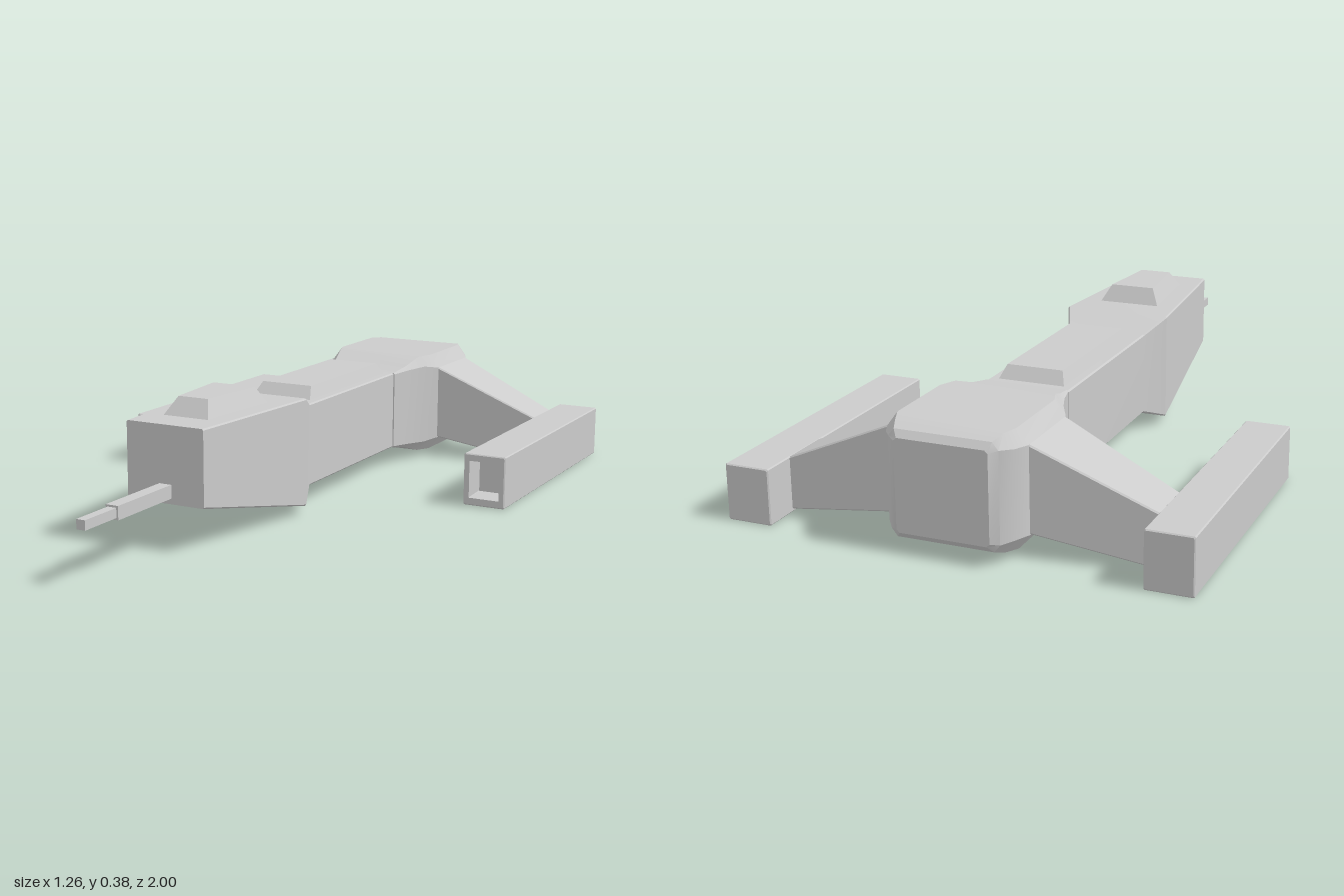
import * as THREE from 'three';
import { toCreasedNormals } from 'three/addons/utils/BufferGeometryUtils.js';

const material = new THREE.MeshStandardMaterial({ color: 0xcccccc });

// Skin a list of cross-sections (each counter-clockwise seen from +z) and cap both ends
function loft(name, rings) {
  const n = rings[0].length, last = rings.length - 1, pos = [];
  const tri = (...points) => points.forEach((p) => pos.push(...p));
  for (let i = 0; i < last; i++) {
    for (let j = 0; j < n; j++) {
      const k = (j + 1) % n;
      const a = rings[i][j], b = rings[i][k], c = rings[i + 1][k], d = rings[i + 1][j];
      tri(a, d, c);
      tri(a, c, b);
    }
  }
  for (let j = 1; j < n - 1; j++) {
    tri(rings[0][0], rings[0][j], rings[0][j + 1]);
    tri(rings[last][0], rings[last][j + 1], rings[last][j]);
  }
  const geometry = new THREE.BufferGeometry();
  geometry.setAttribute('position', new THREE.Float32BufferAttribute(pos, 3));
  const mesh = new THREE.Mesh(toCreasedNormals(geometry, 0.45), material);
  mesh.name = name;
  return mesh;
}

// Rectangle with chamfered corners
function section(z, w, y0, y1, cx = 0.004, cy = cx) {
  return [
    [w, y0 + cy, z], [w, y1 - cy, z], [w - cx, y1, z], [cx - w, y1, z],
    [-w, y1 - cy, z], [-w, y0 + cy, z], [cx - w, y0, z], [w - cx, y0, z],
  ];
}

// Raised block with sloping sides, from [z, base half width, top half width, top height]
function raisedPanel(name, base, rows) {
  return loft(name, rows.map(([z, b, t, y]) => [[b, base, z], [t, y, z], [-t, y, z], [-b, base, z]]));
}

function box(name, size, z0, z1, x, y) {
  const mesh = new THREE.Mesh(new THREE.BoxGeometry(size, size, z1 - z0), material);
  mesh.position.set(x, y, (z0 + z1) / 2);
  mesh.name = name;
  return mesh;
}

export function createModel() {
  const model = new THREE.Group();
  model.name = 'spacecraft';

  // Forward fuselage: wedge-bottomed head and narrow neck
  const front = new THREE.Group();
  front.name = 'forwardFuselage';
  front.position.x = -0.004;
  front.add(loft('headAndNeck', [
    section(0.63, 0.118, 0.122, 0.333),
    section(0.15, 0.158, 0.022, 0.333),
    section(0.06, 0.12, 0.057, 0.298),
    section(-0.51, 0.12, 0.057, 0.298),
  ]));
  front.add(raisedPanel('canopy', 0.331, [
    [0.53, 0.07, 0.07, 0.331], [0.49, 0.07, 0.046, 0.38],
    [0.28, 0.09, 0.066, 0.38], [0.25, 0.092, 0.092, 0.331],
  ]));
  front.add(raisedPanel('spinePanel', 0.296, [
    [0.012, 0.095, 0.095, 0.296], [-0.022, 0.095, 0.08, 0.333],
    [-0.455, 0.095, 0.08, 0.333], [-0.482, 0.095, 0.095, 0.296],
  ]));
  front.add(box('gunBase', 0.037, 0.6, 0.87, 0, 0.156));
  front.add(box('gunTip', 0.026, 0.85, 1, 0, 0.156));
  model.add(front);

  // Engine block with chamfered corners and a rounded tail
  model.add(loft('engineBlock', [
    section(-0.5, 0.12, 0.057, 0.298),
    section(-0.57, 0.138, 0.045, 0.31, 0.012),
    section(-0.635, 0.163, 0.024, 0.332, 0.022, 0.03),
    section(-0.685, 0.19, 0.022, 0.333, 0.03, 0.04),
    section(-0.91, 0.19, 0.022, 0.333, 0.03, 0.04),
    section(-0.95, 0.172, 0.026, 0.33, 0.028, 0.036),
    section(-0.985, 0.146, 0.038, 0.318, 0.016, 0.02),
    section(-1, 0.125, 0.055, 0.3, 0.008),
  ]));

  for (const [side, label] of [[1, 'left'], [-1, 'right']]) {
    // Drooping, tapered wing
    const wing = loft(label + 'Wing', [
      section(0.515, 0.072, 0.006, 0.148),
      section(0.15, 0.117, 0.07, 0.311),
    ]);
    wing.rotation.y = side * Math.PI / 2;
    wing.position.z = -0.797;
    model.add(wing);

    // Long square nacelle with a recessed intake
    const nacelle = loft(label + 'Nacelle', [
      section(-0.22, 0.038, 0.03, 0.122, 0.001),
      section(-0.16, 0.046, 0.022, 0.132, 0.001),
      section(-0.16, 0.06, 0.003, 0.15, 0.003),
      section(-0.163, 0.063, 0, 0.153, 0.003),
      section(-0.97, 0.063, 0, 0.153, 0.003),
      section(-0.973, 0.06, 0.003, 0.15, 0.003),
    ]);
    nacelle.position.x = side * 0.567;
    model.add(nacelle);
  }
  return model;
}
